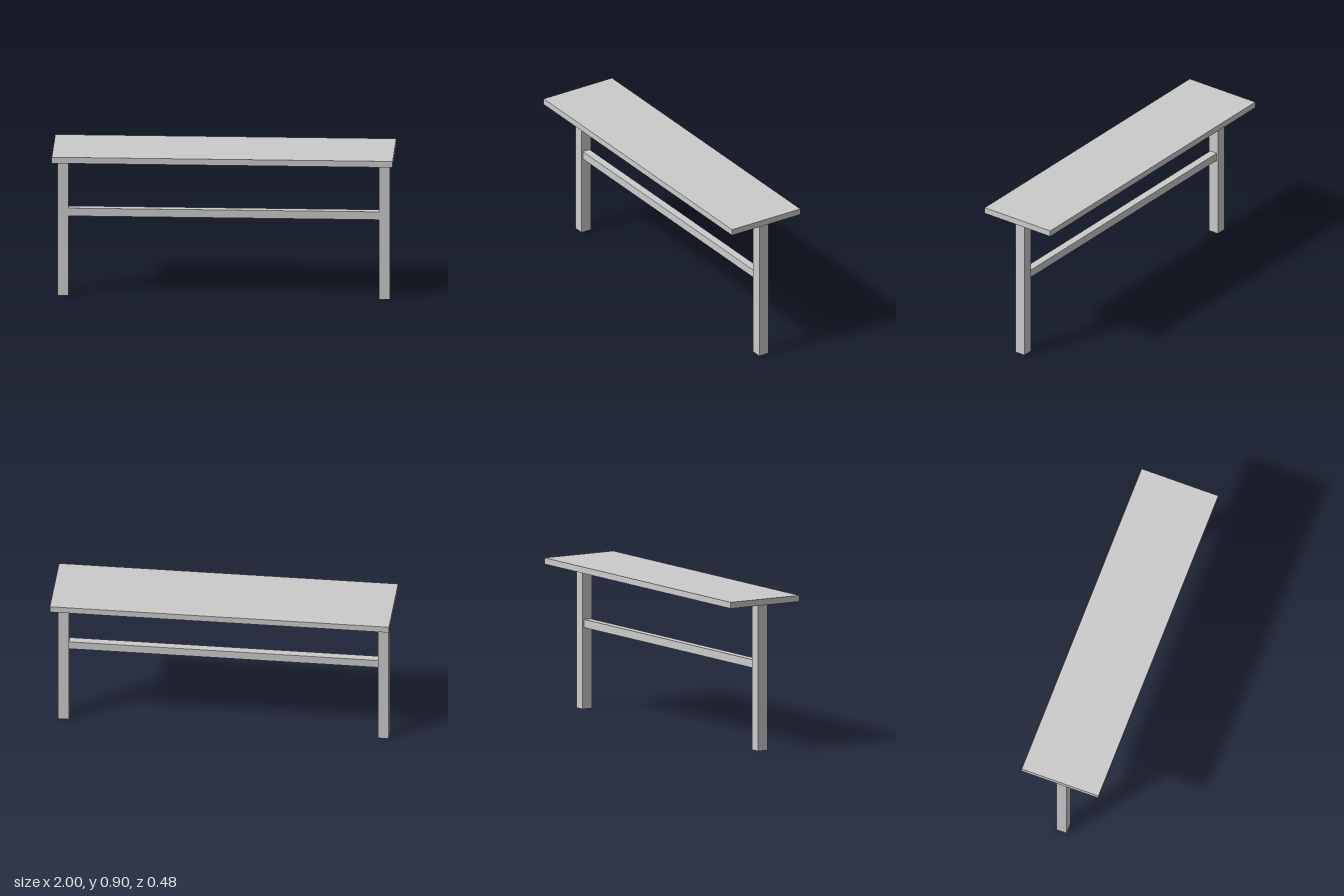
import * as THREE from 'three';

export function createModel() {
  const group = new THREE.Group();
  const material = new THREE.MeshStandardMaterial({ color: 0xcccccc });

  // Box given by its size, bottom height and x centre
  function addBox(name, width, height, depth, bottom, x = 0) {
    const mesh = new THREE.Mesh(new THREE.BoxGeometry(width, height, depth), material);
    mesh.name = name;
    mesh.position.set(x, bottom + height / 2, 0);
    group.add(mesh);
  }

  const legSize = 0.064, legX = 0.943, legHeight = 0.867;

  // Flat seat board
  addBox('seat', 2, 0.037, 0.48, legHeight);

  // One central leg at each end
  for (const side of [-1, 1]) {
    addBox(side > 0 ? 'leftLeg' : 'rightLeg', legSize, legHeight, legSize, 0, side * legX);
  }

  // Rail joining the legs
  addBox('rail', 2 * legX - legSize, 0.048, 0.048, 0.484);

  return group;
}
